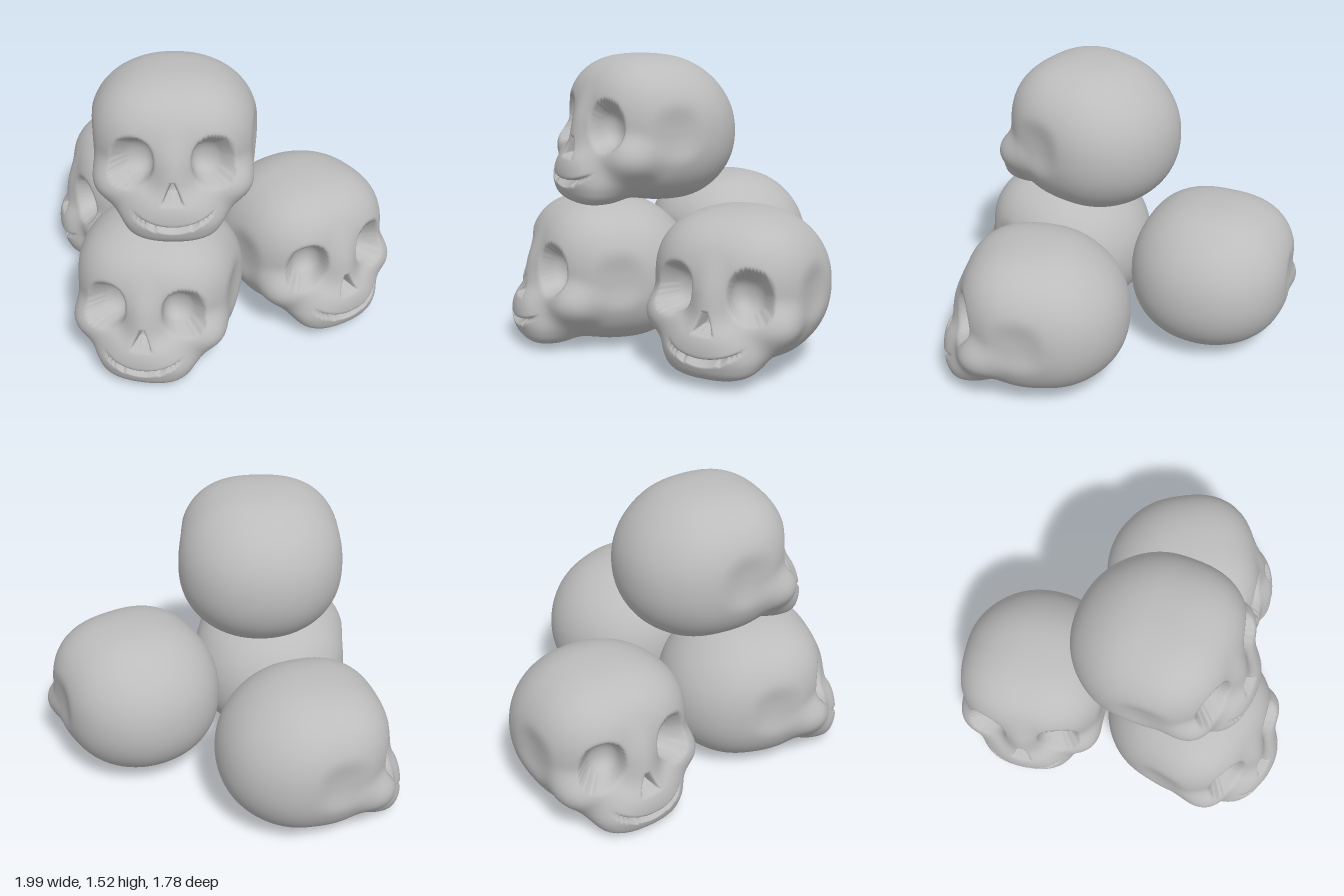
import * as THREE from 'three';
import { mergeVertices } from 'three/addons/utils/BufferGeometryUtils.js';

const bone = new THREE.MeshStandardMaterial({ color: 0xbcbcbc });
bone.name = 'bone grey';

// Rounded solid: approximate signed distance to a superellipsoid
function blob(x, y, z, [cx, cy, cz], [rx, ry, rz], n = 2) {
  const k = (Math.abs((x - cx) / rx) ** n + Math.abs((y - cy) / ry) ** n + Math.abs((z - cz) / rz) ** n) ** (1 / n);
  return (k - 1) * Math.min(rx, ry, rz);
}

// Soft union and soft subtraction
function join(a, b, k) {
  const h = Math.max(k - Math.abs(a - b), 0) / k;
  return Math.min(a, b) - h * h * k / 4;
}
const carve = (a, b, k) => -join(-a, b, k);

// Distance to the skull surface; the face looks along +z
function skullField(px, y, z) {
  const x = Math.abs(px);
  // cranium: round and slightly lower at the back, boxier towards the face
  const n = 2.12 + 0.45 * THREE.MathUtils.smoothstep(z, -0.3, 0.25);
  let d = blob(x, y - 0.07 * (z - 0.05), z, [0, 0, 0.02], [0.428, 0.385, 0.43], n);
  // flattened temples
  d = carve(d, blob(x, y, z, [0.485, 0.02, 0.16], [0.09, 0.16, 0.17], 2.5), 0.03);
  // cheekbones, upper jaw, nose bridge, lower jaw
  d = join(d, blob(x, y, z, [0.28, -0.11, 0.32], [0.115, 0.1, 0.12]), 0.07);
  d = join(d, blob(x, y, z, [0, -0.165, 0.39], [0.23, 0.115, 0.17]), 0.08);
  d = join(d, blob(x, y, z, [0, -0.02, 0.39], [0.09, 0.16, 0.11]), 0.07);
  d = join(d, blob(x, y, z, [0, -0.285, 0.415], [0.235, 0.09, 0.14], 2.4), 0.09);
  // eye sockets, opening slightly outwards
  const lean = z - 0.4;
  d = carve(d, blob(x - 0.3 * lean, y - 0.15 * lean, z, [0.198, 0.05, 0.44], [0.113, 0.12, 0.14], 2.2), 0.03);
  // triangular nose opening, narrowing with depth
  const depth = Math.max(0, -d);
  const nose = Math.max((x - 0.012 - 0.41 * (-0.02 - y)) * 0.92, y + 0.02, -0.12 - y) + 0.4 * depth;
  d = carve(d, Math.max(nose, depth - 0.05, 0.3 - z), 0.012);
  // curved mouth slit, cut to a shallow depth
  const line = -0.25 + 1.6 * x * x;
  const slit = Math.max(Math.abs(y - line) - 0.016 * (1 - (x / 0.2) ** 2) + 0.25 * depth, x - 0.2, 0.3 - z, depth - 0.04);
  return carve(d, slit, 0.012);
}

// Wrap a sphere, with its pole at the face, onto the skull surface
function skullGeometry() {
  const rows = 136, cols = 130, cy = -0.04, cz = 0.06;
  const g = new THREE.SphereGeometry(1, cols, rows);
  g.deleteAttribute('uv');
  g.deleteAttribute('normal');
  const p = g.attributes.position;
  const axis = new THREE.Vector3(1, 0, 0);
  const v = new THREE.Vector3();
  for (let i = 0; i < p.count; i++) {
    const row = Math.floor(i / (cols + 1)), col = i % (cols + 1);
    const a = Math.PI * (row / rows) ** 1.4, b = (col % cols) / cols * Math.PI * 2;
    const s = row === rows ? 0 : Math.sin(a);
    v.set(-s * Math.cos(b), Math.cos(a), s * Math.sin(b)).applyAxisAngle(axis, Math.PI / 2);
    const f = t => skullField(v.x * t, cy + v.y * t, cz + v.z * t);
    let outer = 0.85;
    while (outer > 0.05 && f(outer) > 0) outer -= 0.012;
    let inner = outer;
    outer += 0.012;
    for (let n = 0; n < 12; n++) {
      const mid = (inner + outer) / 2;
      if (f(mid) > 0) outer = mid; else inner = mid;
    }
    p.setXYZ(i, v.x * inner, cy + v.y * inner, cz + v.z * inner);
  }
  const merged = mergeVertices(g, 1e-5);
  merged.computeVertexNormals();
  return merged;
}

export function createModel() {
  const group = new THREE.Group();
  group.name = 'skullPile';
  const geometry = skullGeometry();
  // name, centre, turn and nod in degrees
  const skulls = [
    ['frontSkull', [-0.135, 0.405, 0.315], 7, 0],
    ['leftSkull', [0.45, 0.445, -0.24], 48, 2.5],
    ['rightSkull', [-0.46, 0.425, -0.46], -61, 4],
    ['topSkull', [-0.13, 1.153, 0.085], 17, 0],
  ];
  for (const [name, centre, turn, nod] of skulls) {
    const skull = new THREE.Mesh(geometry, bone);
    skull.name = name;
    skull.position.set(...centre);
    skull.rotation.set(THREE.MathUtils.degToRad(nod), THREE.MathUtils.degToRad(turn), 0, 'YXZ');
    group.add(skull);
  }
  return group;
}
